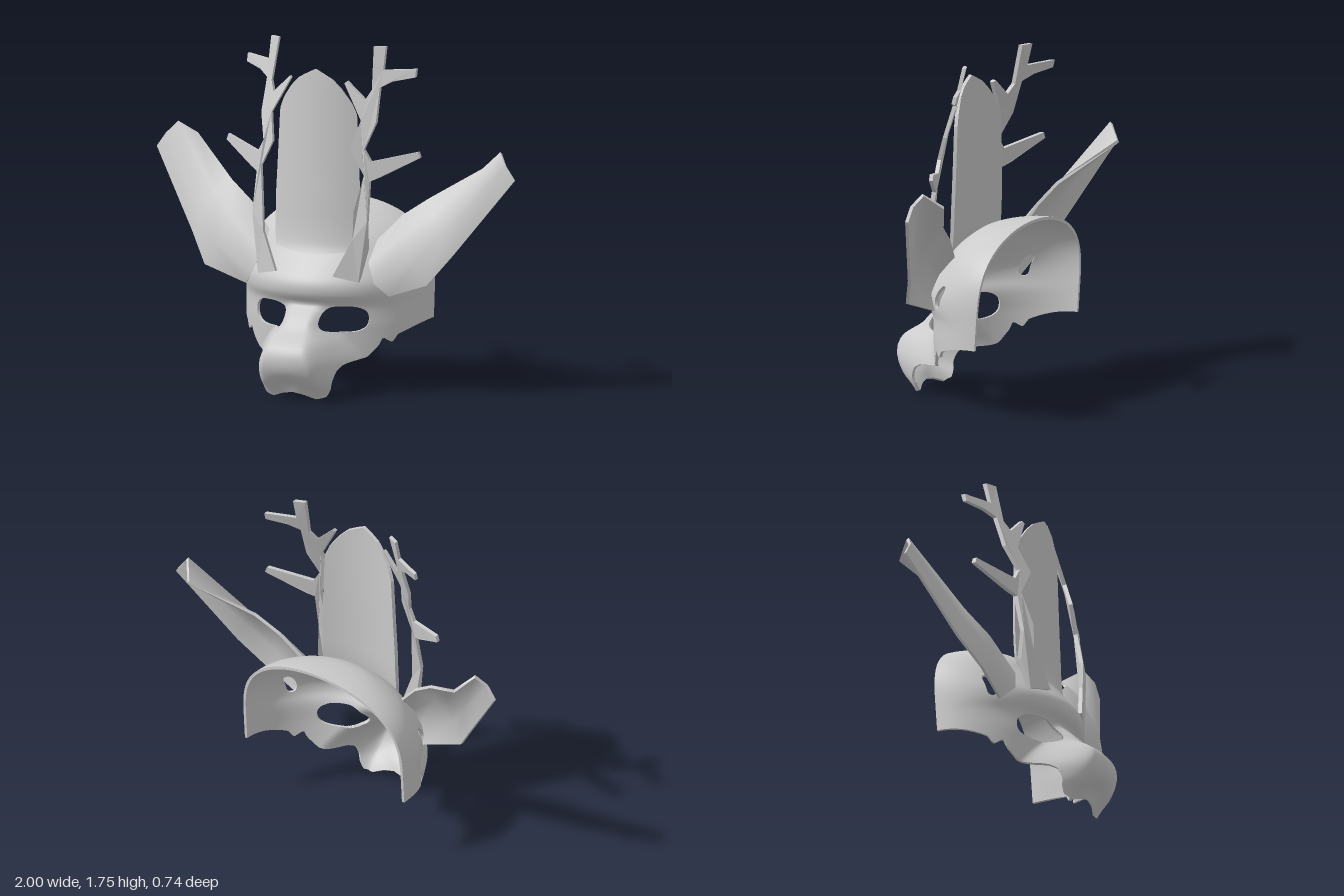
import * as THREE from 'three';
import { mergeVertices, mergeGeometries } from 'three/addons/utils/BufferGeometryUtils.js';

const material = new THREE.MeshStandardMaterial({ color: 0xcccccc, side: THREE.DoubleSide });

// Reads a table of [position, value]; smooth blends the slopes, otherwise straight lines
function read(table, t, smooth = true) {
  const n = table.length - 1;
  if (t <= table[0][0]) return table[0][1];
  if (t >= table[n][0]) return table[n][1];
  let i = 0;
  while (t > table[i + 1][0]) i++;
  const [x0, y0] = table[i], [x1, y1] = table[i + 1], h = x1 - x0, s = (t - x0) / h;
  if (!smooth) return y0 + (y1 - y0) * s;
  const slope = (k) => {
    const a = table[Math.max(k - 1, 0)], b = table[Math.min(k + 1, n)];
    return (b[1] - a[1]) / (b[0] - a[0]);
  };
  const s2 = s * s, s3 = s2 * s;
  return (2 * s3 - 3 * s2 + 1) * y0 + (s3 - 2 * s2 + s) * h * slope(i)
    + (3 * s2 - 2 * s3) * y1 + (s3 - s2) * h * slope(i + 1);
}

// Surface over a grid, cut where field(point) is below zero
function surface(map, nu, nv, field = () => 1) {
  const grid = [], out = [];
  for (let j = 0; j <= nv; j++) for (let i = 0; i <= nu; i++) {
    const p = map(i / nu, j / nv);
    grid.push({ p, f: field(p) });
  }
  const clip = (tri) => {
    const poly = [];
    tri.forEach((a, k) => {
      const b = tri[(k + 1) % 3];
      if (a.f > 0) poly.push(a.p);
      if ((a.f > 0) !== (b.f > 0)) {
        // always interpolate from the kept side, so neighbours agree
        const [q, r] = a.f > 0 ? [a, b] : [b, a];
        poly.push(q.p.clone().lerp(r.p, q.f / (q.f - r.f)));
      }
    });
    for (let k = 2; k < poly.length; k++)
      for (const p of [poly[0], poly[k - 1], poly[k]]) out.push(p.x, p.y, p.z);
  };
  for (let j = 0; j < nv; j++) for (let i = 0; i < nu; i++) {
    const k = j * (nu + 1) + i, a = grid[k], b = grid[k + 1], c = grid[k + nu + 2], d = grid[k + nu + 1];
    clip([a, b, c]);
    clip([a, c, d]);
  }
  const g = new THREE.BufferGeometry();
  g.setAttribute('position', new THREE.Float32BufferAttribute(out, 3));
  return g;
}

// Gives a surface thickness: outer skin, inner skin and walls round every open edge
function shell(surfaceGeometry, thickness) {
  const outer = mergeVertices(surfaceGeometry, 1e-4);
  const old = outer.index.array, index = [], edges = new Map();
  for (let i = 0; i < old.length; i += 3) {
    const [a, b, c] = [old[i], old[i + 1], old[i + 2]];
    if (a === b || b === c || c === a) continue;
    index.push(a, b, c);
    for (const [p, q] of [[a, b], [b, c], [c, a]])
      if (!edges.delete(q + '_' + p)) edges.set(p + '_' + q, [p, q]);
  }
  outer.setIndex(index);
  outer.computeVertexNormals();
  const inner = outer.clone(), pos = inner.attributes.position, nor = inner.attributes.normal;
  const flipped = [];
  for (let i = 0; i < index.length; i += 3) flipped.push(index[i], index[i + 2], index[i + 1]);
  inner.setIndex(flipped);
  for (let i = 0; i < pos.count; i++) {
    pos.setXYZ(i, pos.getX(i) - nor.getX(i) * thickness, pos.getY(i) - nor.getY(i) * thickness,
      pos.getZ(i) - nor.getZ(i) * thickness);
    nor.setXYZ(i, -nor.getX(i), -nor.getY(i), -nor.getZ(i));
  }
  const wall = [], at = (g, i) => new THREE.Vector3().fromBufferAttribute(g.attributes.position, i);
  for (const [a, b] of edges.values()) {
    const A = at(outer, a), B = at(outer, b), C = at(inner, a), D = at(inner, b);
    for (const p of [A, C, B, B, C, D]) wall.push(p.x, p.y, p.z);
  }
  const walls = new THREE.BufferGeometry();
  walls.setAttribute('position', new THREE.Float32BufferAttribute(wall, 3));
  walls.computeVertexNormals();
  return mergeGeometries([outer.toNonIndexed(), inner.toNonIndexed(), walls]);
}

// Face and hood: heights against depth
const brow = [[0, .08], [.2, .11], [.35, .125], [.46, .13], [.52, .165], [.58, .165], [.65, .115],
  [.72, .06], [.8, 0], [.88, -.1], [.91, -.17], [.93, -.27], [.94, -.36]];
const noseDepth = [[0, .24], [.04, .27], [.1, .33], [.2, .37], [.28, .345], [.35, .245], [.4, .2], [.46, .13]];
const noseWidth = [[0, .27], [.14, .26], [.2, .24], [.28, .19], [.36, .13], [.46, .1]];
const jaw = [[0, .04], [.06, .028], [.12, .005], [.17, .02], [.2, .08], [.207, .14], [.23, .18], [.3, .2],
  [.35, .26], [.365, .3], [.4, .27], [.42, .31], [.5, .36]];

function maskPoint(u, v) {
  const y = .94 * Math.sin(v * Math.PI / 2), a = (u - .5) * Math.PI;
  const width = .5 * Math.sqrt(Math.max(0, 1 - Math.max(0, (y - .5) / .44) ** 3));
  const rim = -.33 - .04 * Math.max(0, y - .36) / .58;
  const x = width * Math.sin(a), base = read(brow, y);
  let z = rim + (base - rim) * Math.cos(a);
  if (y < .46) {
    const side = THREE.MathUtils.smoothstep(Math.abs(x) / read(noseWidth, y), .5, 1.2);
    z += Math.max(0, read(noseDepth, y) - base) * (1 - side);
    // hollow under the nose
    z -= .025 * Math.exp(-((x / .08) ** 2) - ((y - .085) / .035) ** 2);
  }
  return new THREE.Vector3(x, y, z);
}

// Positive on the mask, negative below the jaw and in the eye and ear openings
function maskField({ x, y }) {
  const ax = Math.abs(x);
  const hole = (cx, cy, rx, ry, e) =>
    ((Math.abs((ax - cx) / rx) ** e + Math.abs((y - cy) / ry) ** e) ** (1 / e) - 1) * Math.min(rx, ry);
  return Math.min(y - read(jaw, ax, false), hole(.205, .397, .108, .067, 2.6), hole(.415, .59, .016, .06, 3));
}

// Crest: tall curved plate with a pointed top
const crestWidth = [[.66, .2], [.8, .235], [1, .235], [1.42, .215], [1.48, .19], [1.55, .14], [1.6, .09], [1.645, 0]];
function crestPoint(u, v) {
  const y = .66 + .985 * v, x = (u * 2 - 1) * read(crestWidth, y, false);
  return new THREE.Vector3(x, y, read([[.66, .1], [.75, .05], [1, .03], [1.645, .008]], y) - 1.1 * x * x);
}

// Ear: sections from root to tip, each from lower edge to upper edge
const earSections = [
  [[.40, .51, -.02], [.34, .58, .03], [.30, .68, .01], [.30, .78, -.09]],
  [[.62, .59, .00], [.56, .70, .01], [.48, .83, -.04], [.42, .91, -.13]],
  [[.73, .74, -.08], [.68, .84, -.07], [.61, .94, -.11], [.55, 1.0, -.17]],
  [[1.0, 1.12, -.23], [.95, 1.19, -.23], [.90, 1.25, -.27], [.83, 1.18, -.355]],
];
const earPoint = (u, v) =>
  new THREE.Vector3(...earSections[Math.round(u * 3)][Math.round(v * 3)]);

// Antler: flat branching plate, bent back with height and swept back outward
const antlerOutline = [[.16, .62], [.25, .81], [.255, .95], [.287, 1.13], [.215, 1.265], [.25, 1.4], [.15, 1.58],
  [.16, 1.59], [.255, 1.5], [.28, 1.55], [.265, 1.76], [.32, 1.76], [.32, 1.645], [.47, 1.65], [.47, 1.61], [.37, 1.59],
  [.315, 1.56], [.32, 1.39], [.28, 1.26], [.315, 1.2], [.53, 1.25], [.54, 1.22], [.36, 1.12], [.315, 1.1],
  [.32, .9], [.31, .75], [.28, .59]];
const antlerDepth = [[.58, .075], [.75, .05], [.88, .08], [1.12, .03], [1.25, .015], [1.4, -.03], [1.62, -.105], [1.76, -.14]];
function antlerGeometry() {
  const shape = new THREE.Shape(antlerOutline.map(([x, y]) => new THREE.Vector2(x, y)));
  const g = new THREE.ExtrudeGeometry(shape, { depth: .022, bevelEnabled: false });
  const p = g.attributes.position;
  for (let i = 0; i < p.count; i++)
    p.setZ(i, p.getZ(i) - .011 + read(antlerDepth, p.getY(i), false) - .45 * (p.getX(i) - .28));
  g.computeVertexNormals();
  return g;
}

export function createModel() {
  const model = new THREE.Group();
  model.name = 'hornedMask';
  const add = (name, geometry, mirror = 1) => {
    const mesh = new THREE.Mesh(geometry, material);
    mesh.name = name;
    mesh.scale.x = mirror;
    model.add(mesh);
  };
  add('faceAndHood', shell(surface(maskPoint, 120, 90, maskField), .015));
  add('crest', shell(surface(crestPoint, 16, 40), .018));
  const ear = shell(surface(earPoint, 3, 3), .016), antler = antlerGeometry();
  for (const [side, mirror] of [['left', 1], ['right', -1]]) {
    add(side + 'Ear', ear, mirror);
    add(side + 'Antler', antler, mirror);
  }
  return model;
}
